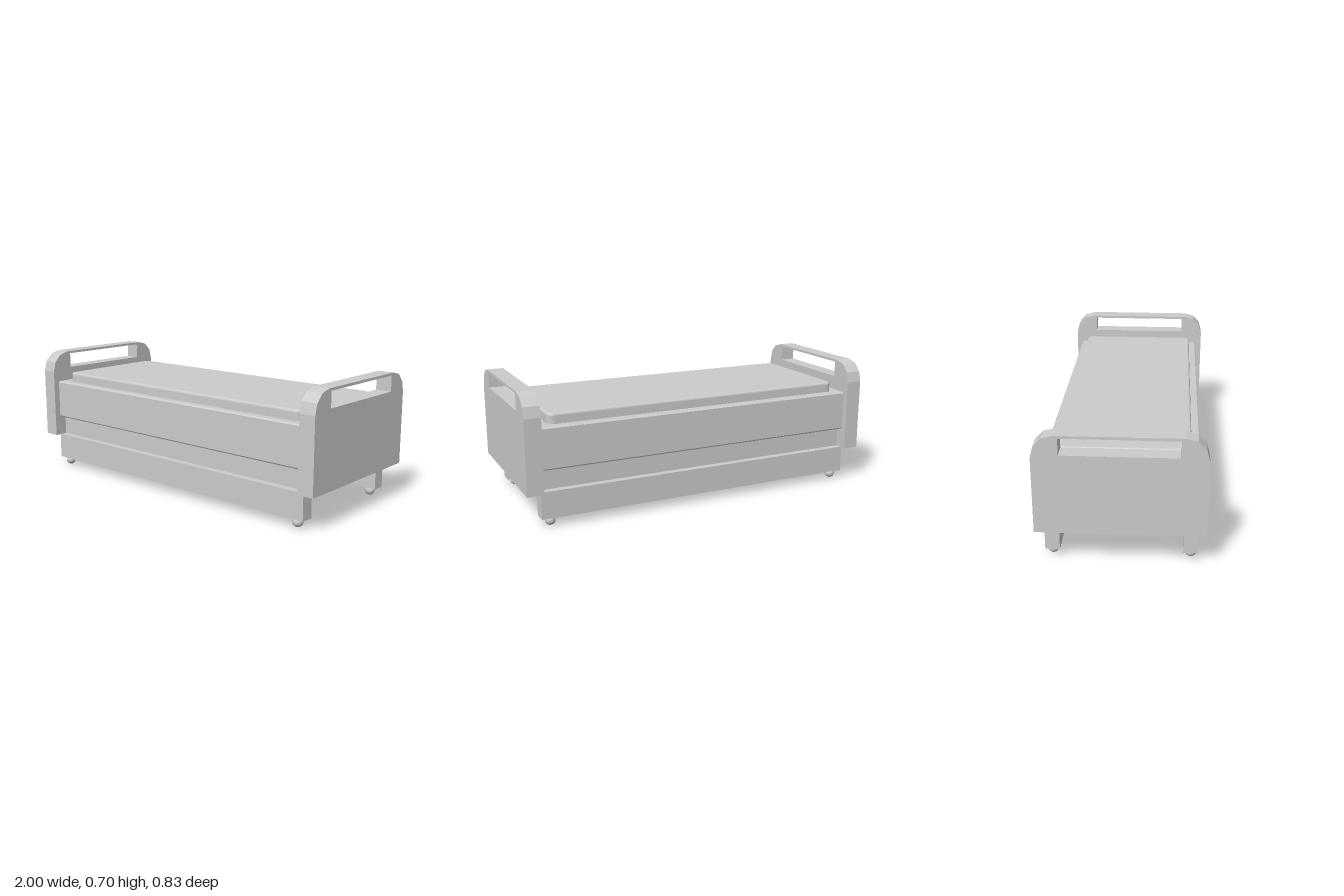
import * as THREE from 'three';

const material = new THREE.MeshStandardMaterial({ color: 0xcccccc, flatShading: true });
const smooth = new THREE.MeshStandardMaterial({ color: 0xcccccc });

function roundedRect(w, d, r) {
  const s = new THREE.Shape();
  const x = w / 2, y = d / 2;
  s.absarc(x - r, y - r, r, 0, Math.PI / 2);
  s.absarc(-x + r, y - r, r, Math.PI / 2, Math.PI);
  s.absarc(-x + r, -y + r, r, Math.PI, Math.PI * 1.5);
  s.absarc(x - r, -y + r, r, Math.PI * 1.5, Math.PI * 2);
  s.closePath();
  return s;
}

export function createModel() {
  const bed = new THREE.Group();
  bed.name = 'bed';

  const add = (name, geometry, x, y, z, mat = material) => {
    const mesh = new THREE.Mesh(geometry, mat);
    mesh.name = name;
    mesh.position.set(x, y, z);
    bed.add(mesh);
    return mesh;
  };
  const box = (name, w, y0, y1, d, x = 0, z = 0) =>
    add(name, new THREE.BoxGeometry(w, y1 - y0, d), x, (y0 + y1) / 2, z);

  // End boards: chamfered top corners and a long grip slot
  const half = [[0.415, 0.19], [0.415, 0.588], [0.4, 0.645], [0.36, 0.687], [0.302, 0.702]];
  const outline = [...half, ...half.map(([z, y]) => [-z, y]).reverse()];
  const board = new THREE.Shape(outline.map(([z, y]) => new THREE.Vector2(z, y)));
  const slot = [[-0.284, 0.603], [-0.284, 0.688], [0.284, 0.688], [0.284, 0.603]];
  board.holes.push(new THREE.Path(slot.map(([z, y]) => new THREE.Vector2(z, y))));
  const boardGeometry = new THREE.ExtrudeGeometry(board, { depth: 0.088, bevelEnabled: false });
  boardGeometry.translate(0, 0, -0.044).rotateY(Math.PI / 2);
  add('headboard', boardGeometry, -0.956, 0, 0);
  add('footboard', boardGeometry, 0.956, 0, 0);

  // Upper frame with a narrow eased edge along both long sides
  const section = new THREE.Shape([
    [-0.38, 0.31], [-0.375, 0.303], [0.375, 0.303], [0.38, 0.31],
    [0.38, 0.518], [0.372, 0.525], [-0.372, 0.525], [-0.38, 0.518],
  ].map(([z, y]) => new THREE.Vector2(z, y)));
  const frame = new THREE.ExtrudeGeometry(section, { depth: 1.826, bevelEnabled: false });
  frame.translate(0, 0, -0.913).rotateY(Math.PI / 2);
  add('upperFrame', frame, 0, 0, 0);

  // Recessed core between upper frame and lower rails
  box('liftCore', 1.826, 0.19, 0.304, 0.68);

  // Mattress with rounded corners and a soft rim
  const bevel = 0.012;
  const mattress = new THREE.ExtrudeGeometry(roundedRect(1.716 - 2 * bevel, 0.666 - 2 * bevel, 0.025), {
    depth: 0.058 - bevel, bevelEnabled: true, bevelThickness: bevel, bevelSize: bevel,
    bevelSegments: 3, curveSegments: 5,
  });
  mattress.rotateX(-Math.PI / 2);
  add('mattress', mattress, -0.003, 0.522, 0);

  // Lower rails with a ball caster under each end
  for (const side of [-1, 1]) {
    box('lowerRail', 1.84, 0.046, 0.191, 0.073, 0, side * 0.341);
    for (const end of [-1, 1]) {
      add('caster', new THREE.SphereGeometry(0.028, 24, 16), end * 0.868, 0.028, side * 0.343, smooth);
    }
  }
  return bed;
}
